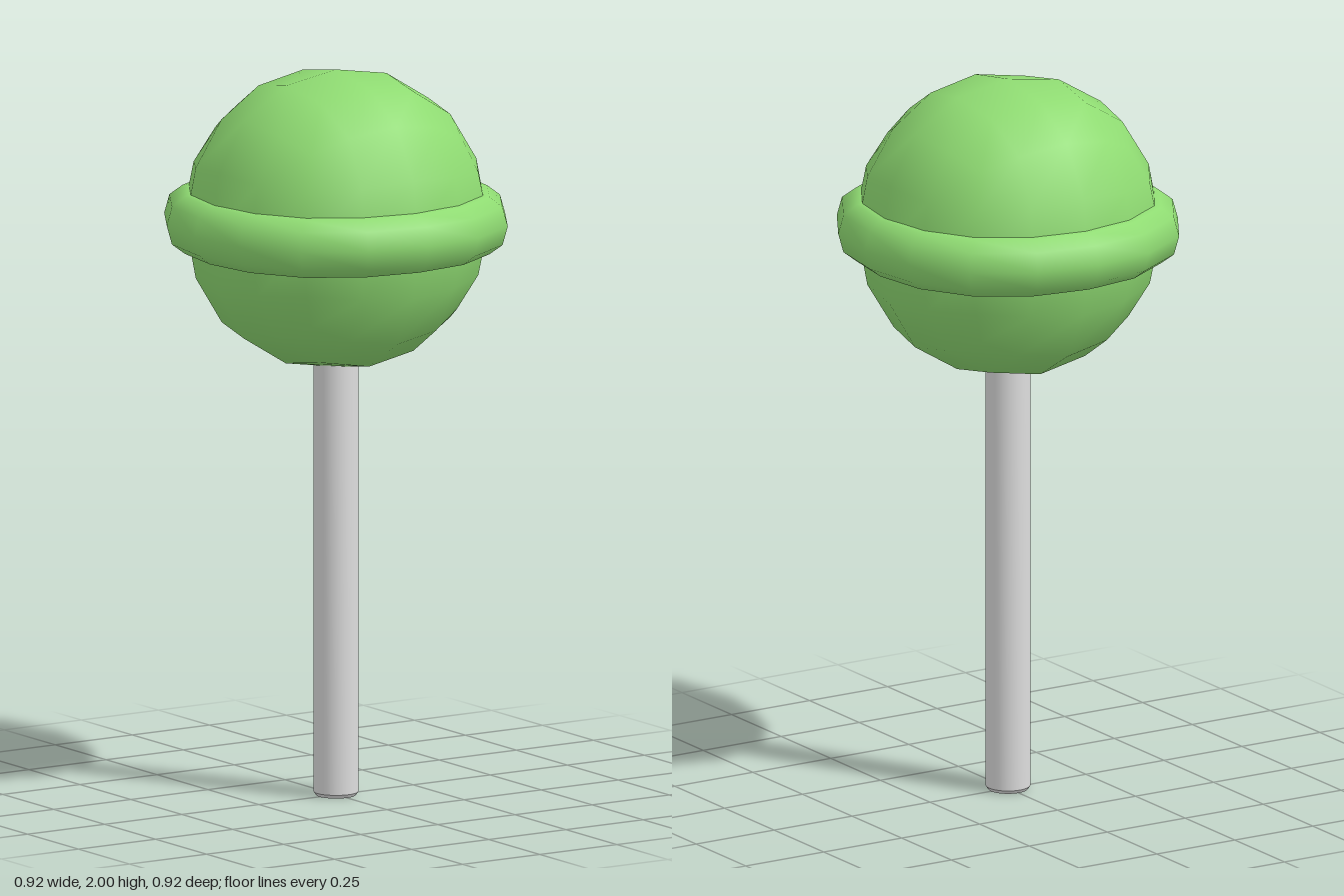
import * as THREE from 'three';
import { mergeVertices, toCreasedNormals } from 'three/addons/utils/BufferGeometryUtils.js';

const CENTER_Y = 1.59;

// Weld duplicate vertices and shade smoothly
function smooth(geometry) {
  geometry.deleteAttribute('normal');
  geometry.deleteAttribute('uv');
  const welded = mergeVertices(geometry, 1e-4);
  welded.computeVertexNormals();
  return welded;
}

// Rounded cube: each grid point is moved to its smoothed position,
// looked up by the sorted absolute grid coordinates (0, 1 or 2)
function candyGeometry() {
  const rounded = {
    '002': [0, 0, 0.407],
    '012': [0, 0.163, 0.38],
    '112': [0, 0.151, 0.355],
    '022': [0, 0, 0.298],
    '122': [0, 0.14, 0.278],
    '222': [0, 0, 0.236],
  };
  const g = new THREE.BoxGeometry(4, 4, 4, 4, 4, 4);
  const p = g.attributes.position;
  for (let i = 0; i < p.count; i++) {
    const c = [p.getX(i), p.getY(i), p.getZ(i)].map(Math.round);
    const row = rounded[c.map(Math.abs).sort().join('')];
    p.setXYZ(i, ...c.map((v) => Math.sign(v) * row[Math.abs(v)]));
  }
  g.scale(1, 1.007, 1);
  return smooth(g);
}

// Band swept round the candy, slightly fuller on the diagonals
function bandGeometry() {
  const half = [[0.392, 0.082], [0.409, 0.079], [0.444, 0.052]];
  const profile = [
    ...half.map(([r, y]) => new THREE.Vector2(r, -y)),
    new THREE.Vector2(0.458, 0),
    ...half.map(([r, y]) => new THREE.Vector2(r, y)).reverse(),
  ];
  const g = new THREE.LatheGeometry(profile, 16);
  const p = g.attributes.position;
  for (let i = 0; i < p.count; i++) {
    const x = p.getX(i), z = p.getZ(i);
    const k = 1 + 0.018 * (1 - Math.cos(4 * Math.atan2(z, x)));
    p.setXYZ(i, x * k, p.getY(i), z * k);
  }
  return smooth(g);
}

// Round stick with a small bevel at the foot
function stickGeometry() {
  const profile = [[0, 0], [0.054, 0], [0.061, 0.01], [0.061, 1.25]];
  const g = new THREE.LatheGeometry(profile.map(([r, y]) => new THREE.Vector2(r, y)), 32);
  return toCreasedNormals(g, 0.6);
}

export function createModel() {
  const green = new THREE.MeshStandardMaterial({ color: 0x8fdb72 });
  green.name = 'candyGreen';
  const white = new THREE.MeshStandardMaterial({ color: 0xdddddd });
  white.name = 'stickWhite';

  const group = new THREE.Group();
  group.name = 'lollipop';
  const add = (name, geometry, material, y) => {
    const mesh = new THREE.Mesh(geometry, material);
    mesh.name = name;
    mesh.position.y = y;
    group.add(mesh);
  };
  add('candyBall', candyGeometry(), green, CENTER_Y);
  add('candyBand', bandGeometry(), green, CENTER_Y - 0.004);
  add('stick', stickGeometry(), white, 0);
  return group;
}
